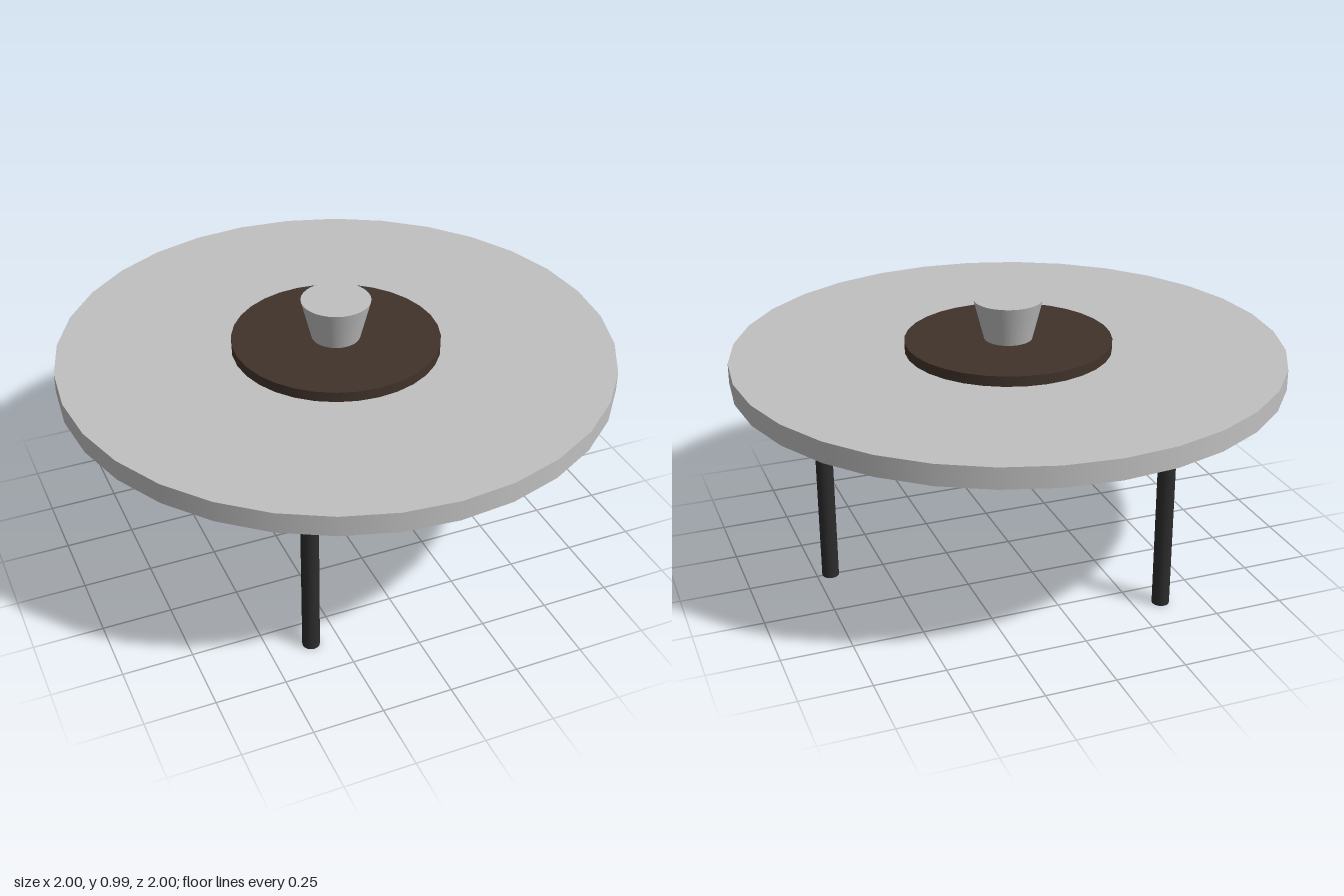
import * as THREE from 'three';

const paleGrey = new THREE.MeshStandardMaterial({ color: 0xc0c0c0 });
paleGrey.name = 'pale grey';
const darkBrown = new THREE.MeshStandardMaterial({ color: 0x41332b });
darkBrown.name = 'dark brown';
const charcoal = new THREE.MeshStandardMaterial({ color: 0x2c2c2c });
charcoal.name = 'charcoal';

// Upright round part standing on a given height
function round(name, material, rTop, rBottom, base, height, sides) {
  const mesh = new THREE.Mesh(new THREE.CylinderGeometry(rTop, rBottom, height, sides), material);
  mesh.name = name;
  mesh.position.y = base + height / 2;
  return mesh;
}

export function createModel() {
  const table = new THREE.Group();
  table.name = 'roundTable';

  // Top, centre tray and tapered vase, stacked
  table.add(
    round('tableTop', paleGrey, 1, 1, 0.725, 0.075, 32),
    round('tray', darkBrown, 0.375, 0.375, 0.8, 0.0375, 32),
    round('vase', paleGrey, 0.125, 0.0875, 0.8375, 0.1475, 32)
  );

  // Three legs, evenly spaced
  for (let i = 0; i < 3; i++) {
    const angle = (i * Math.PI * 2) / 3;
    const leg = round('leg', charcoal, 0.031, 0.031, 0, 0.725, 16);
    leg.position.x = Math.cos(angle) * 0.7;
    leg.position.z = Math.sin(angle) * 0.7;
    table.add(leg);
  }
  return table;
}
